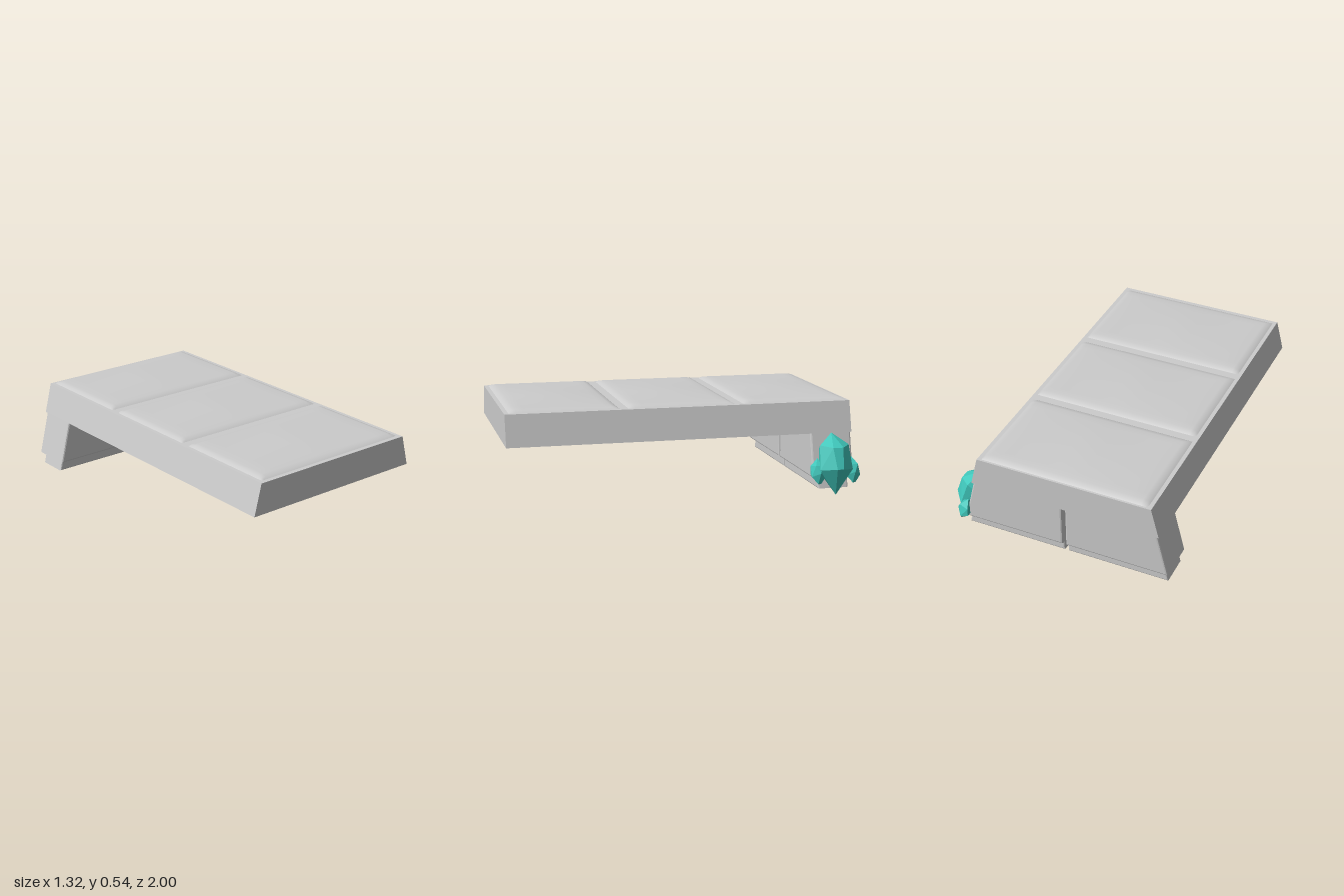
import * as THREE from 'three';
import { ConvexGeometry } from 'three/addons/geometries/ConvexGeometry.js';

const CX = -0.055; // symmetry line of the stonework
const stone = new THREE.MeshStandardMaterial({ color: 0xcccccc });
const crystal = new THREE.MeshStandardMaterial({ color: 0x40c8bc, flatShading: true });

function addMesh(parent, name, geometry, material = stone) {
  const mesh = new THREE.Mesh(geometry, material);
  mesh.name = name;
  parent.add(mesh);
  return mesh;
}

// Extrudes an outline between two z positions, with softened edges kept inside it
function prism(points, z0, z1, bevel = 0) {
  const shape = new THREE.Shape(points.map(([x, y]) => new THREE.Vector2(x, y)));
  const geometry = new THREE.ExtrudeGeometry(shape, {
    depth: z1 - z0 - 2 * bevel,
    bevelEnabled: bevel > 0,
    bevelThickness: bevel,
    bevelSize: bevel,
    bevelOffset: -bevel,
    bevelSegments: 2,
  });
  return geometry.translate(0, 0, z0 + bevel);
}

// Shallow cushion: a stepped bevel round the rim, then a low dome
function panelGeometry(width, depth) {
  const inset = [0, 0.015, 0.04];
  const stops = (size) => {
    const half = size / 2, inner = half - 0.04, list = inset.map((d) => d - half);
    for (let i = 1; i < 12; i++) list.push(-inner + (i / 12) * 2 * inner);
    return list.concat(inset.map((d) => half - d).reverse());
  };
  const xs = stops(width), zs = stops(depth);
  const geometry = new THREE.PlaneGeometry(1, 1, xs.length - 1, zs.length - 1).rotateX(-Math.PI / 2);
  const pos = geometry.attributes.position;
  for (let i = 0; i < pos.count; i++) {
    const x = xs[i % xs.length], z = zs[Math.floor(i / xs.length)];
    const rim = Math.min(width / 2 - Math.abs(x), depth / 2 - Math.abs(z));
    const bevel = rim < 0.015 ? (rim / 0.015) * 0.009
      : 0.009 + Math.min((rim - 0.015) / 0.025, 1) * 0.006;
    const u = Math.min(Math.abs(x) / (width / 2 - 0.04), 1);
    const v = Math.min(Math.abs(z) / (depth / 2 - 0.04), 1);
    pos.setXYZ(i, x, bevel + 0.01 * (1 - u) * (1 - v * v), z);
  }
  geometry.computeVertexNormals();
  return geometry;
}

// Faceted shard from mirrored points [x, y, half width in z]
function shard(points, z) {
  const verts = [];
  for (const [x, y, w] of points) {
    verts.push(new THREE.Vector3(x, y, z + w));
    if (w > 0) verts.push(new THREE.Vector3(x, y, z - w));
  }
  return new ConvexGeometry(verts);
}

export function createModel() {
  const model = new THREE.Group();
  model.name = 'stoneBridgeSlab';

  // Slab with sloping long sides
  addMesh(model, 'slab', prism([[-0.61, 0.345], [0.5, 0.345], [0.455, 0.52], [-0.565, 0.52]], -0.965, 1));

  // Three raised paving panels
  [-0.648, 0.01, 0.67].forEach((z, i) => {
    addMesh(model, `pavingPanel${i + 1}`, panelGeometry(0.975, 0.61)).position.set(CX, 0.52, z);
  });

  // Mirrored pair of blocks and footings at the back end
  for (const [name, s] of [['right', -1], ['left', 1]]) {
    const support = new THREE.Group();
    support.name = `${name}Support`;
    const mirror = (points) => points.map(([x, y]) => [CX + s * x, y]);
    addMesh(support, `${name}Block`,
      prism(mirror([[0.01, 0.36], [0.542, 0.36], [0.608, 0.097], [0.01, 0.097]]), -0.963, -0.722, 0.01));
    addMesh(support, `${name}Footing`,
      prism(mirror([[0.01, 0.12], [0.58, 0.12], [0.601, 0.035], [0.01, 0.035]]), -0.935, -0.755, 0.008));
    model.add(support);
  }

  // Crystal cluster growing from the left support
  const cluster = new THREE.Group();
  cluster.name = 'crystalCluster';
  addMesh(cluster, 'largeCrystal', shard([
    [0.495, 0.345, 0], [0.615, 0.28, 0.03], [0.55, 0.285, 0.085], [0.5, 0.25, 0.075],
    [0.66, 0.165, 0.018], [0.595, 0.15, 0.097], [0.53, 0.13, 0.08], [0.59, 0.005, 0],
  ], -0.845), crystal);
  for (const [name, z] of [['frontCrystal', -0.75], ['backCrystal', -0.955]]) {
    addMesh(cluster, name, shard([
      [0.535, 0.21, 0], [0.58, 0.175, 0.022], [0.525, 0.165, 0.035], [0.605, 0.135, 0],
      [0.57, 0.11, 0.042], [0.525, 0.12, 0.036], [0.585, 0.07, 0.008],
    ], z), crystal);
  }
  model.add(cluster);

  return model;
}
